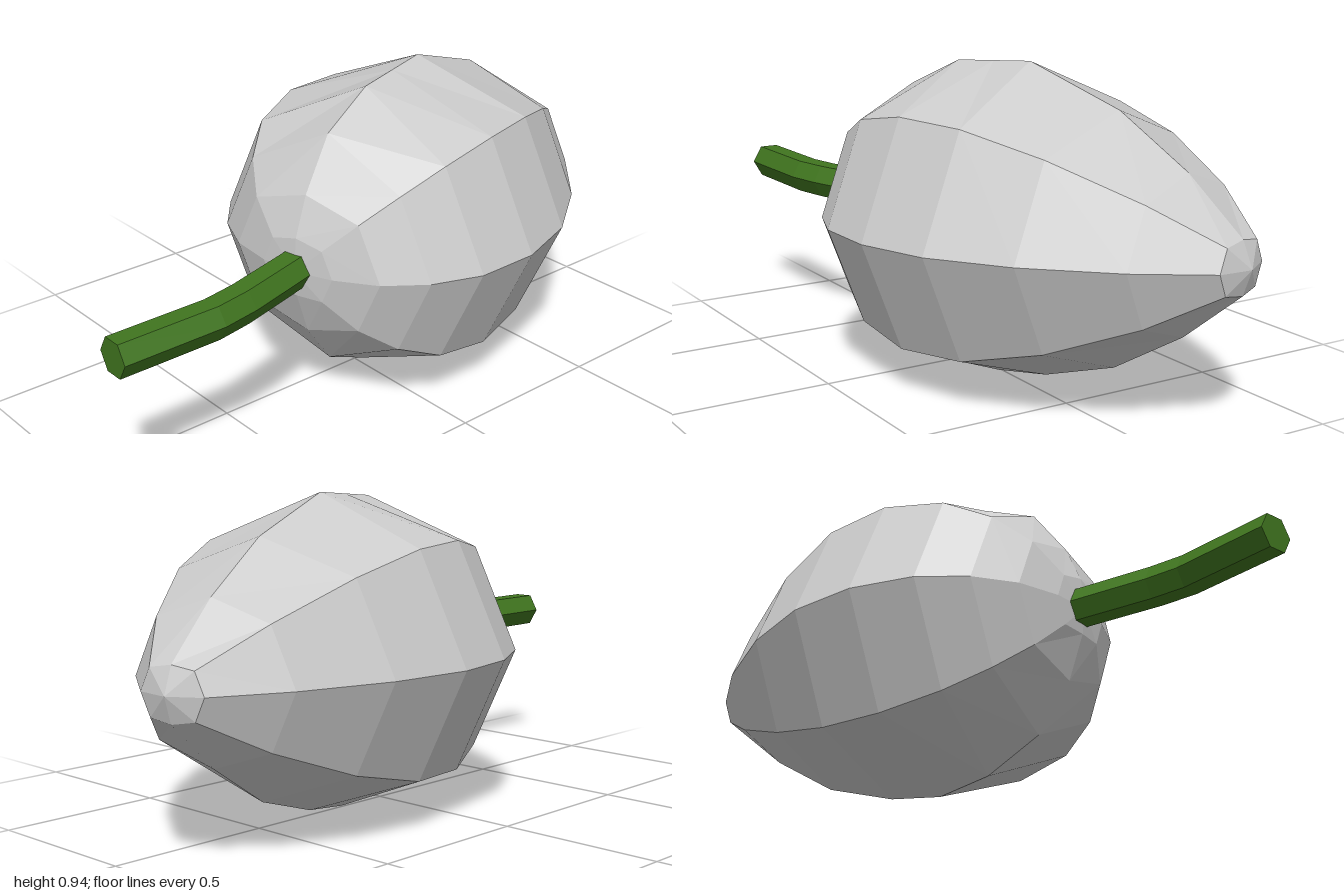
import * as THREE from 'three';

// Skin equal-sized rings (ordered towards +x), closed by a fan at each end point.
function loft(rings, start, end) {
  const pos = [];
  const tri = (...pts) => pts.forEach((p) => pos.push(p.x, p.y, p.z));
  const n = rings[0].length;
  const last = rings[rings.length - 1];
  for (let j = 0; j < n; j++) {
    const k = (j + 1) % n;
    tri(start, rings[0][j], rings[0][k]);
    for (let i = 0; i < rings.length - 1; i++) {
      const a = rings[i], b = rings[i + 1];
      tri(a[j], b[j], a[k]);
      tri(a[k], b[j], b[k]);
    }
    tri(last[j], end, last[k]);
  }
  const geo = new THREE.BufferGeometry();
  geo.setAttribute('position', new THREE.Float32BufferAttribute(pos, 3));
  geo.computeVertexNormals();
  return geo;
}

function addPart(group, name, geometry, color) {
  const material = new THREE.MeshStandardMaterial({ color, flatShading: true });
  const mesh = new THREE.Mesh(geometry, material);
  mesh.name = name;
  group.add(mesh);
}

const MID = 0.475; // height of the bud's axis

// Eight-sided bud: each row gives [along, radius] for the sides, top and bottom.
function budGeometry() {
  const profile = [
    [[-0.345, 0.12], [-0.35, 0.1], [-0.35, 0.08]],
    [[-0.298, 0.25], [-0.3, 0.215], [-0.3, 0.215]],
    [[-0.21, 0.363], [-0.19, 0.365], [-0.19, 0.358]],
    [[-0.08, 0.455], [0, 0.45], [-0.01, 0.446]],
    [[0.115, 0.505], [0.14, 0.46], [0.166, 0.475]],
    [[0.335, 0.49], [0.28, 0.47], [0.35, 0.446]],
    [[0.577, 0.4], [0.6, 0.365], [0.6, 0.365]],
    [[0.825, 0.25], [0.83, 0.225], [0.83, 0.225]],
    [[1.003, 0.097], [1.005, 0.075], [1.01, 0.075]],
  ];
  const dir = new THREE.Vector3(0.966, 0, -0.259);
  const side = new THREE.Vector3(0.259, 0, 0.966);
  const origin = new THREE.Vector3(0, MID, 0.05);
  const onAxis = (t) => origin.clone().addScaledVector(dir, t);
  const rings = profile.map(([sides, top, bottom]) =>
    Array.from({ length: 8 }, (_, j) => {
      if (j === 2 || j === 6) {
        const [t, r] = j === 2 ? top : bottom;
        const p = onAxis(t);
        p.y += j === 2 ? r : -r;
        return p;
      }
      const a = (j * Math.PI) / 4;
      const p = onAxis(sides[0]).addScaledVector(side, sides[1] * Math.cos(a));
      p.y += sides[1] * 0.935 * Math.sin(a);
      return p;
    }));
  return loft(rings, onAxis(-0.36), onAxis(1.036));
}

// Six-sided stem, bending gently towards the bud.
function stemGeometry() {
  const path = [[-1, 0.225, 0], [-0.69, 0.223, 0.1], [-0.58, 0.202, 0.22], [-0.31, 0.124, 0.28]];
  const r = 0.058;
  const rings = path.map(([x, z, turn]) =>
    Array.from({ length: 6 }, (_, j) => {
      const a = (j * Math.PI) / 3;
      const s = r * Math.cos(a);
      return new THREE.Vector3(x + s * Math.sin(turn), MID + r * Math.sin(a), z + s * Math.cos(turn));
    }));
  const centre = ([x, z]) => new THREE.Vector3(x, MID, z);
  return loft(rings, centre(path[0]), centre(path[path.length - 1]));
}

export function createModel() {
  const group = new THREE.Group();
  group.name = 'flowerBud';
  addPart(group, 'bud', budGeometry(), 0xcccccc);
  addPart(group, 'stem', stemGeometry(), 0x40751f);
  return group;
}
